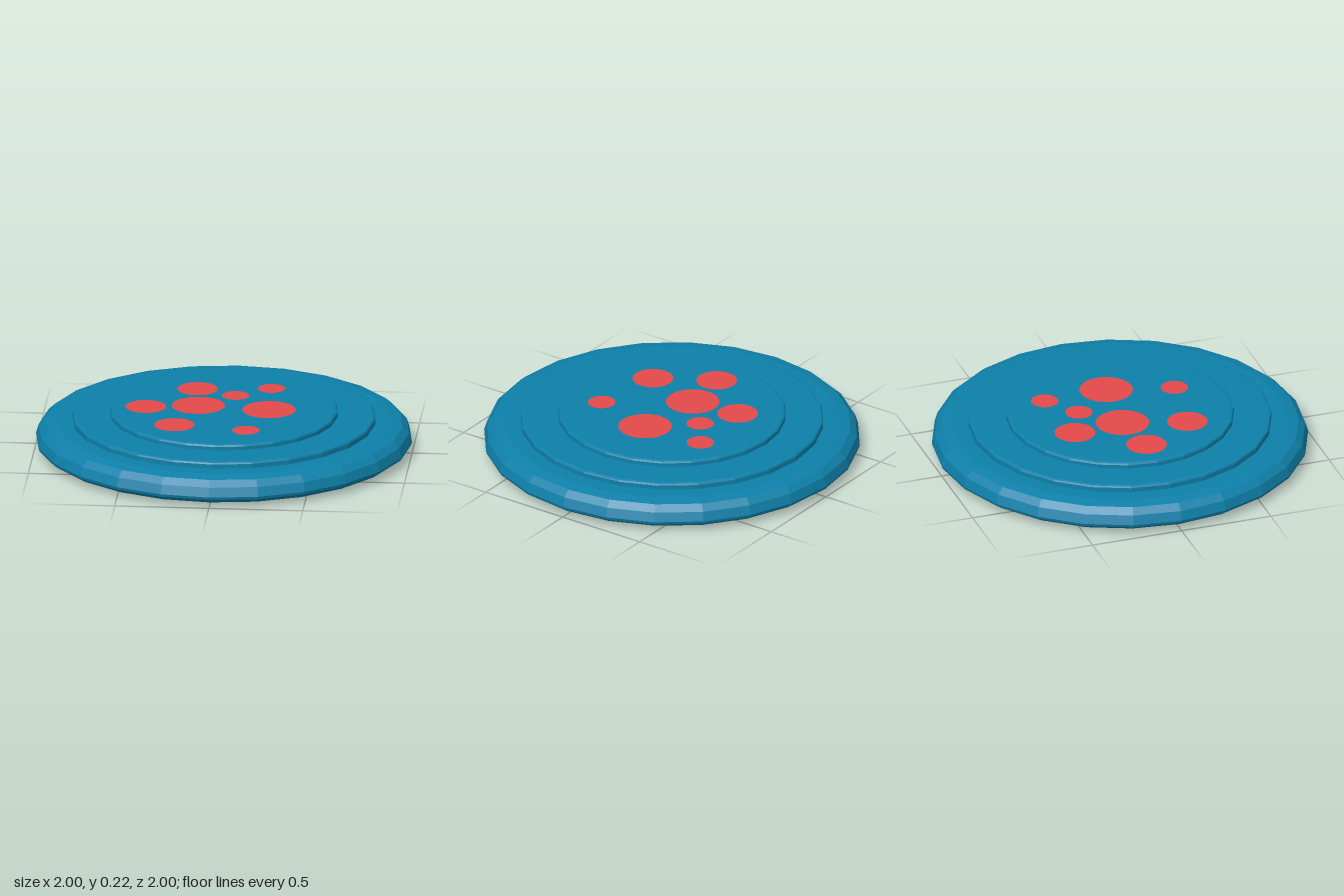
import * as THREE from 'three';

const SIDES = 24;

export function createModel() {
  const model = new THREE.Group();
  const blue = new THREE.MeshStandardMaterial({ color: 0x0e80a9, flatShading: true });
  const red = new THREE.MeshStandardMaterial({ color: 0xe54a4a });

  // Turned part from a profile of [radius, height] pairs, bottom to top
  const turned = (name, profile) => {
    const points = profile.map(([r, y]) => new THREE.Vector2(r, y));
    const mesh = new THREE.Mesh(new THREE.LatheGeometry(points, SIDES), blue);
    mesh.name = name;
    model.add(mesh);
  };

  // Wide rounded base plate
  turned('basePlate', [
    [0, 0], [0.88, 0.005], [0.96, 0.02], [0.995, 0.045], [1, 0.06],
    [0.985, 0.11], [0.95, 0.142], [0.89, 0.155], [0, 0.157],
  ]);

  // Two stacked steps with a small bevel
  const step = (name, r, bottom, top) => turned(name, [
    [0, bottom], [r, bottom], [r, top - 0.012], [r - 0.004, top - 0.004], [r - 0.014, top], [0, top],
  ]);
  step('middleStep', 0.805, 0.15, 0.191);
  step('topStep', 0.605, 0.185, 0.222);

  // Flat round spots on the top step: x, z, radius
  const spots = new THREE.Group();
  spots.name = 'spots';
  const layout = [
    [-0.14, -0.035, 0.142], [0.24, 0.005, 0.142],
    [-0.165, -0.31, 0.108], [-0.415, 0.005, 0.108], [-0.24, 0.295, 0.108],
    [0.225, -0.345, 0.073], [0.045, -0.215, 0.073], [0.145, 0.355, 0.073],
  ];
  for (const [x, z, r] of layout) {
    const spot = new THREE.Mesh(new THREE.CircleGeometry(r, 40), red);
    spot.name = 'spot';
    spot.rotation.x = -Math.PI / 2;
    spot.position.set(x, 0.224, z);
    spots.add(spot);
  }
  model.add(spots);

  return model;
}
